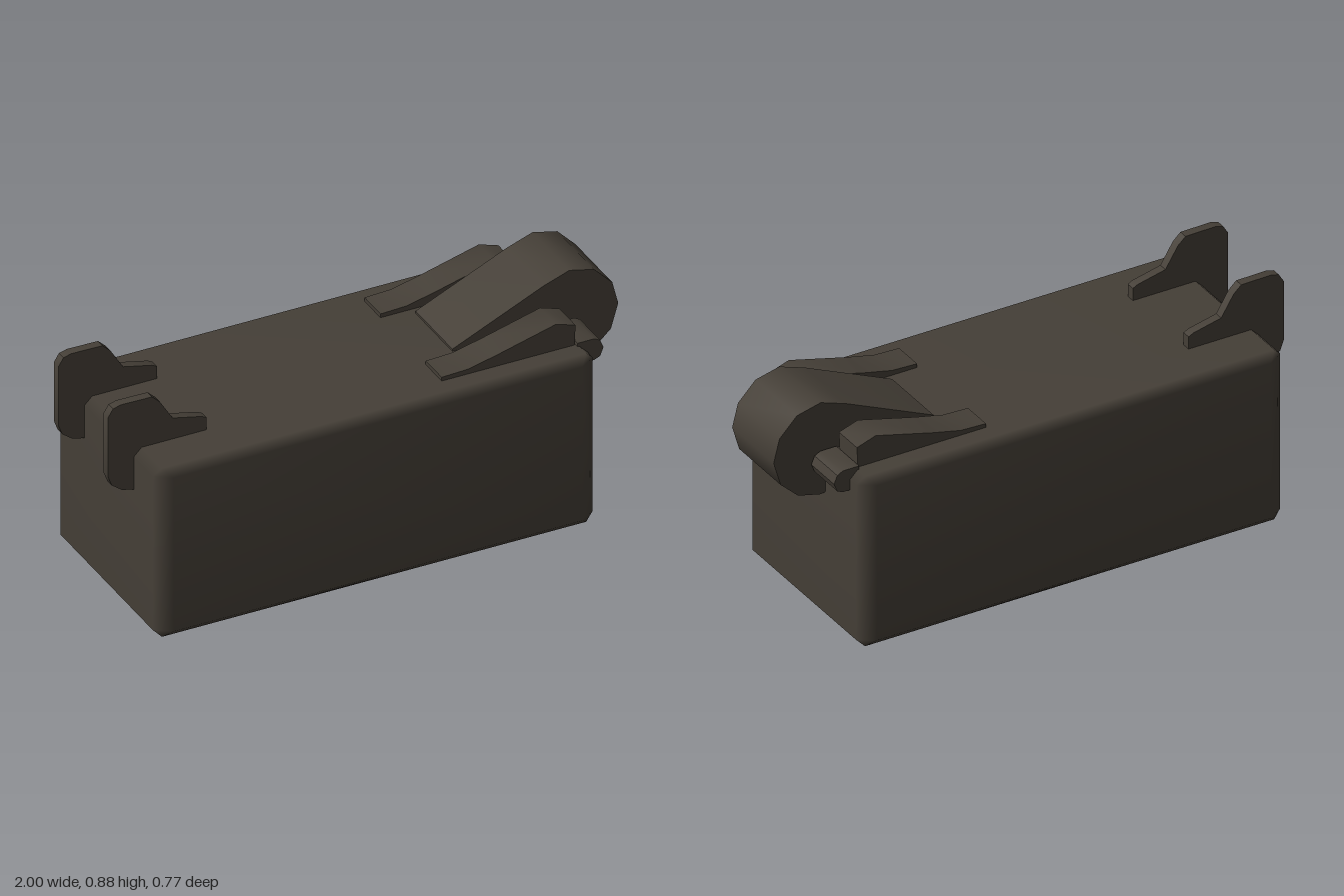
import * as THREE from 'three';
import { mergeVertices, toCreasedNormals } from 'three/addons/utils/BufferGeometryUtils.js';
import { ConvexGeometry } from 'three/addons/geometries/ConvexGeometry.js';

const darkMetal = new THREE.MeshStandardMaterial({ color: 0x453f37 });
darkMetal.name = 'dark metal';

// Side profile in x, y extruded between two z values, with soft curves and sharp rims
function plate(name, points, z0, z1) {
  const shape = new THREE.Shape(points.map(([x, y]) => new THREE.Vector2(x, y)));
  const geo = new THREE.ExtrudeGeometry(shape, { depth: z1 - z0, bevelEnabled: false });
  geo.translate(0, 0, z0);
  const mesh = new THREE.Mesh(toCreasedNormals(geo, 0.65), darkMetal);
  mesh.name = name;
  return mesh;
}

// Chamfered block with normals blended over its edges
function chamferedBlock(X, Y, Z) {
  const points = [];
  for (const sx of [-1, 1]) for (const sy of [-1, 1]) for (const sz of [-1, 1]) {
    points.push(
      new THREE.Vector3(sx * (X - 0.06), sy * (Y - 0.03), sz * Z),
      new THREE.Vector3(sx * X, sy * (Y - 0.03), sz * (Z - 0.04)),
      new THREE.Vector3(sx * (X - 0.03), sy * Y, sz * (Z - 0.03)));
  }
  const geo = new ConvexGeometry(points);
  geo.deleteAttribute('normal');
  const smooth = mergeVertices(geo, 1e-4);
  smooth.computeVertexNormals();
  return smooth;
}

export function createModel() {
  const model = new THREE.Group();
  model.name = 'block with hinged latch';

  // Main block
  const body = new THREE.Mesh(chamferedBlock(0.846, 0.34, 0.386), darkMetal);
  body.position.set(-0.054, 0.341, 0);
  body.name = 'body';
  model.add(body);

  // Central arm with a rounded head
  model.add(plate('centralArm', [
    [0.36, 0.66], [0.65, 0.64], [0.66, 0.59], [0.72, 0.535], [0.81, 0.513],
    [0.90, 0.535], [0.97, 0.60], [0.998, 0.695], [0.975, 0.785], [0.905, 0.857],
    [0.81, 0.88], [0.71, 0.845], [0.36, 0.69],
  ], -0.141, 0.136));

  const tab = [
    [0.24, 0.66], [0.75, 0.66], [0.755, 0.76], [0.68, 0.785],
    [0.45, 0.725], [0.34, 0.70], [0.24, 0.696],
  ];
  const lug = [
    [0.755, 0.61], [0.82, 0.61], [0.842, 0.62], [0.855, 0.652],
    [0.842, 0.683], [0.82, 0.695], [0.755, 0.695],
  ];
  const fin = [
    [-0.90, 0.52], [-0.87, 0.52], [-0.75, 0.64], [-0.62, 0.66], [-0.62, 0.73],
    [-0.64, 0.74], [-0.75, 0.765], [-0.80, 0.845], [-0.83, 0.873], [-0.95, 0.875],
    [-0.98, 0.867], [-1.0, 0.835], [-1.0, 0.60], [-0.985, 0.56], [-0.945, 0.53],
  ];

  // Paired tabs, hinge lugs and rear fins
  for (const [label, s] of [['front', 1], ['back', -1]]) {
    const add = (name, profile, inner, outer) => model.add(
      plate(label + name, profile, Math.min(s * inner, s * outer), Math.max(s * inner, s * outer)));
    add('Tab', tab, 0.17, 0.29);
    add('HingeLug', lug, 0.153, 0.305);
    add('Fin', fin, 0.169, 0.203);
  }
  return model;
}
